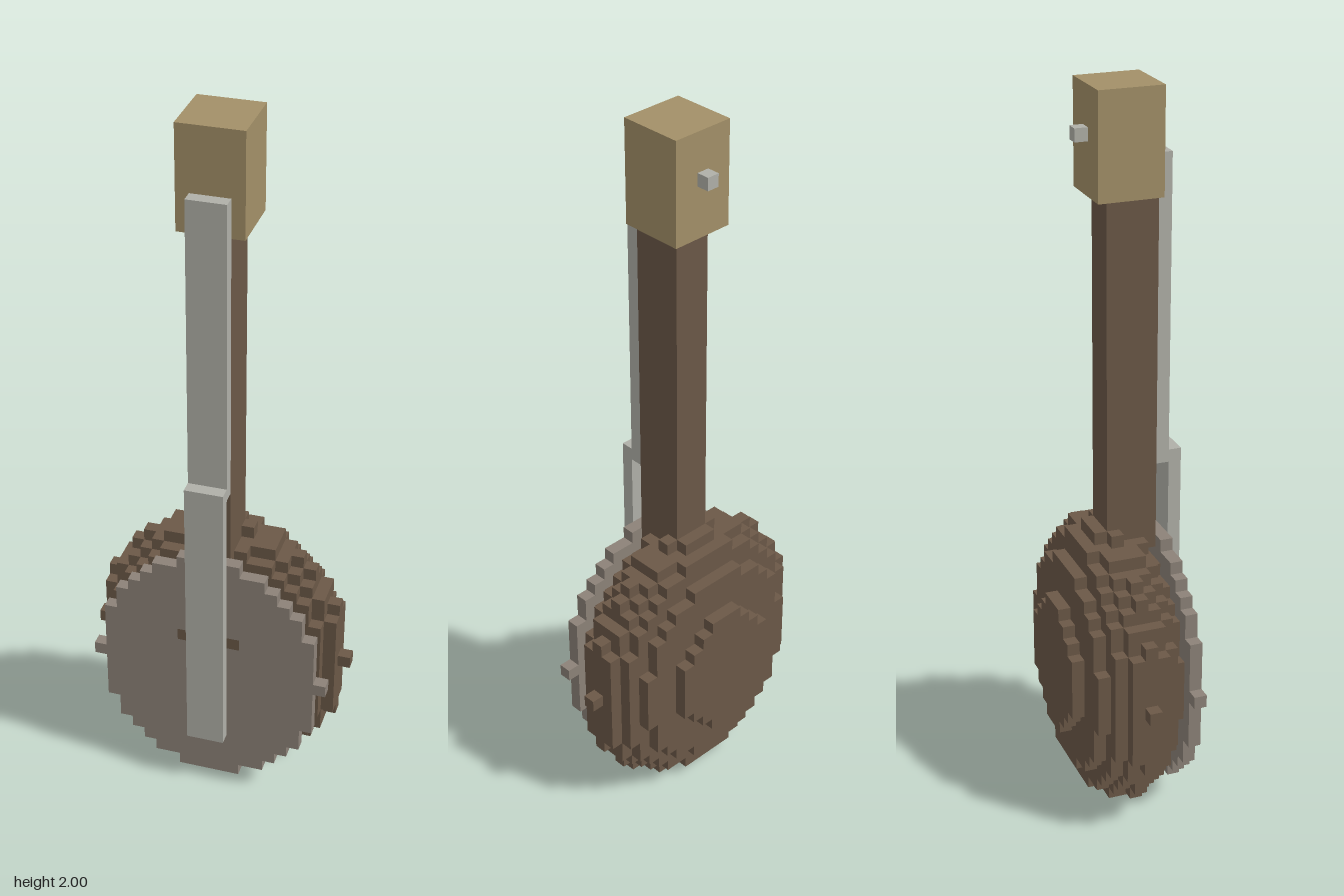
import * as THREE from 'three';

const V = 2 / 57; // one block

const material = (name, color) => {
  const m = new THREE.MeshStandardMaterial({ color });
  m.name = name;
  return m;
};

// Blocky ellipse outline: widest column per row, in blocks around the centre (0, cy)
function steppedOutline(a, b, room, cy) {
  const side = [];
  const rows = Math.floor(b);
  for (let j = -rows; j <= rows; j++) {
    const left = room - (j * j) / (b * b);
    if (left < 0) continue;
    const half = Math.floor(a * Math.sqrt(left) + 1e-6) + 0.5;
    side.push([half, cy + j - 0.5], [half, cy + j + 0.5]);
  }
  const mirrored = side.map(([x, y]) => [-x, y]).reverse();
  return [...side, ...mirrored].map(([x, y]) => new THREE.Vector2(x * V, y * V));
}

export function createModel() {
  const group = new THREE.Group();
  const brown = material('dark wood', 0x6b5847);
  const taupe = material('skin', 0x8c8278);
  const tan = material('light wood', 0xa39068);
  const grey = material('string grey', 0xb0b0a8);

  const add = (name, geometry, mat) => {
    const mesh = new THREE.Mesh(geometry, mat);
    mesh.name = name;
    group.add(mesh);
    return mesh;
  };
  // Box from its limits in blocks
  const box = (name, mat, halfX, y0, y1, z0, z1) => {
    const mesh = add(name, new THREE.BoxGeometry(2 * halfX * V, (y1 - y0) * V, (z1 - z0) * V), mat);
    mesh.position.set(0, (y0 + y1) / 2 * V, (z0 + z1) / 2 * V);
  };
  // One-block slab with a stepped outline
  const slab = (name, mat, outline, z, hole) => {
    const shape = new THREE.Shape(outline);
    if (hole) shape.holes.push(new THREE.Path(hole));
    const geometry = new THREE.ExtrudeGeometry(shape, { depth: V, bevelEnabled: false });
    add(name, geometry, mat).position.z = z * V;
  };

  // Rounded body, a stack of slices open at the front
  for (let k = -4; k <= 3; k++) {
    slab('bodySlice', brown, steppedOutline(10, 11.5, 1 - (k * k) / 20.25, 11.5), k - 1);
  }

  // Drum skin with the dark sound hole set in it
  const soundHole = steppedOutline(2, 2, 1, 14.5);
  slab('drumSkin', taupe, steppedOutline(9, 10.5, 1, 11.5), 3, soundHole);
  slab('soundHole', brown, soundHole, 3);

  // Neck, head and string boards
  box('neck', brown, 1.5, 21, 49, -1, 3);
  box('headstock', tan, 2.5, 49, 57, -2, 3);
  box('tuningPeg', grey, 0.5, 53, 54, -3, -2);
  box('upperStrings', grey, 1.5, 28, 52, 3, 4);
  box('lowerStrings', grey, 1.5, 5, 29, 4, 5);

  return group;
}
